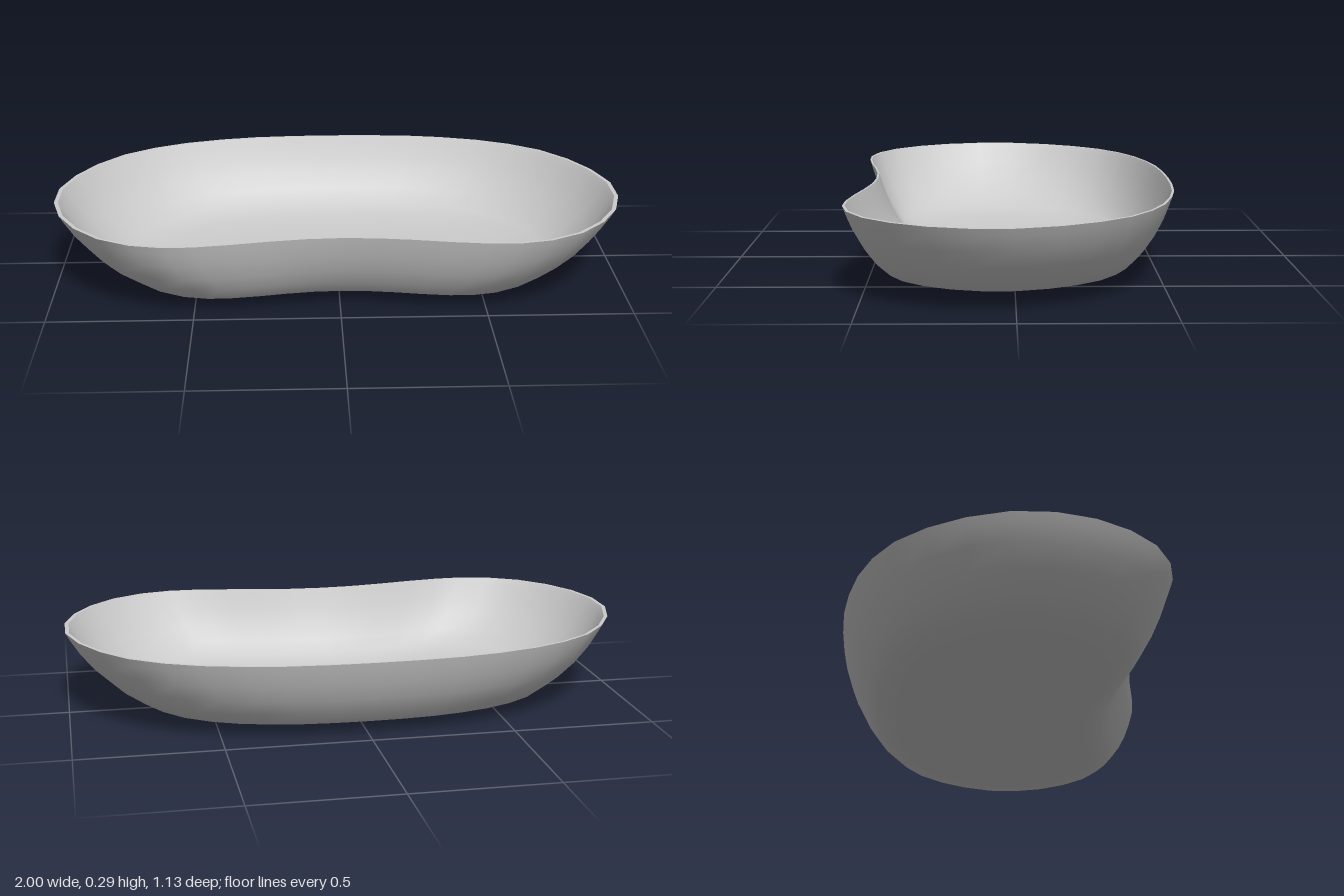
import * as THREE from 'three';
import { toCreasedNormals } from 'three/addons/utils/BufferGeometryUtils.js';

// Half of the kidney-shaped rim as (x, z), from the back centre to the front centre
const HALF_RIM = [
  [0, -0.567], [0.15, -0.564], [0.3, -0.553], [0.43, -0.531], [0.57, -0.493],
  [0.69, -0.44], [0.8, -0.365], [0.89, -0.26], [0.957, -0.14], [1, 0],
  [1, 0.14], [0.965, 0.27], [0.9, 0.385], [0.81, 0.48], [0.7, 0.54],
  [0.59, 0.564], [0.49, 0.562], [0.37, 0.545], [0.24, 0.521], [0.12, 0.504], [0, 0.498],
];

// Wall profile as (scale of the rim outline, height), from the bottom centre to the rim
const WALL = [
  [0, 0], [0.25, 0.003], [0.45, 0.01], [0.64, 0.023], [0.765, 0.046],
  [0.84, 0.095], [0.9, 0.15], [0.95, 0.21], [0.985, 0.265], [1, 0.292],
];
const THICKNESS = 0.014;

function createDishGeometry() {
  const mirrored = HALF_RIM.slice(1, -1).reverse().map(([x, z]) => [-x, z]);
  const rim = [...HALF_RIM, ...mirrored];

  // Outside going up, then the inside going back down to the floor
  const inside = WALL.map(([s, y], i) => [
    s * (1 - THICKNESS),
    i === WALL.length - 1 ? y : y + THICKNESS * (1 - 0.7 * y / 0.292),
  ]).reverse();
  const profile = [...WALL, ...inside];

  const positions = [];
  const point = (r, i) => {
    const [s, y] = profile[r];
    const [x, z] = rim[i % rim.length];
    return [x * s, y, z * s];
  };
  for (let r = 0; r < profile.length - 1; r++) {
    for (let i = 0; i < rim.length; i++) {
      const a = point(r, i), b = point(r, i + 1);
      const c = point(r + 1, i), d = point(r + 1, i + 1);
      // Rings of zero size close to a single point
      if (profile[r][0] > 0) positions.push(...a, ...c, ...b);
      if (profile[r + 1][0] > 0) positions.push(...b, ...c, ...d);
    }
  }
  const geometry = new THREE.BufferGeometry();
  geometry.setAttribute('position', new THREE.Float32BufferAttribute(positions, 3));
  return toCreasedNormals(geometry, Math.PI / 4);
}

export function createModel() {
  const group = new THREE.Group();
  group.name = 'kidneyDish';
  const dish = new THREE.Mesh(
    createDishGeometry(),
    new THREE.MeshStandardMaterial({ color: 0xcccccc }),
  );
  dish.name = 'dishShell';
  group.add(dish);
  return group;
}
